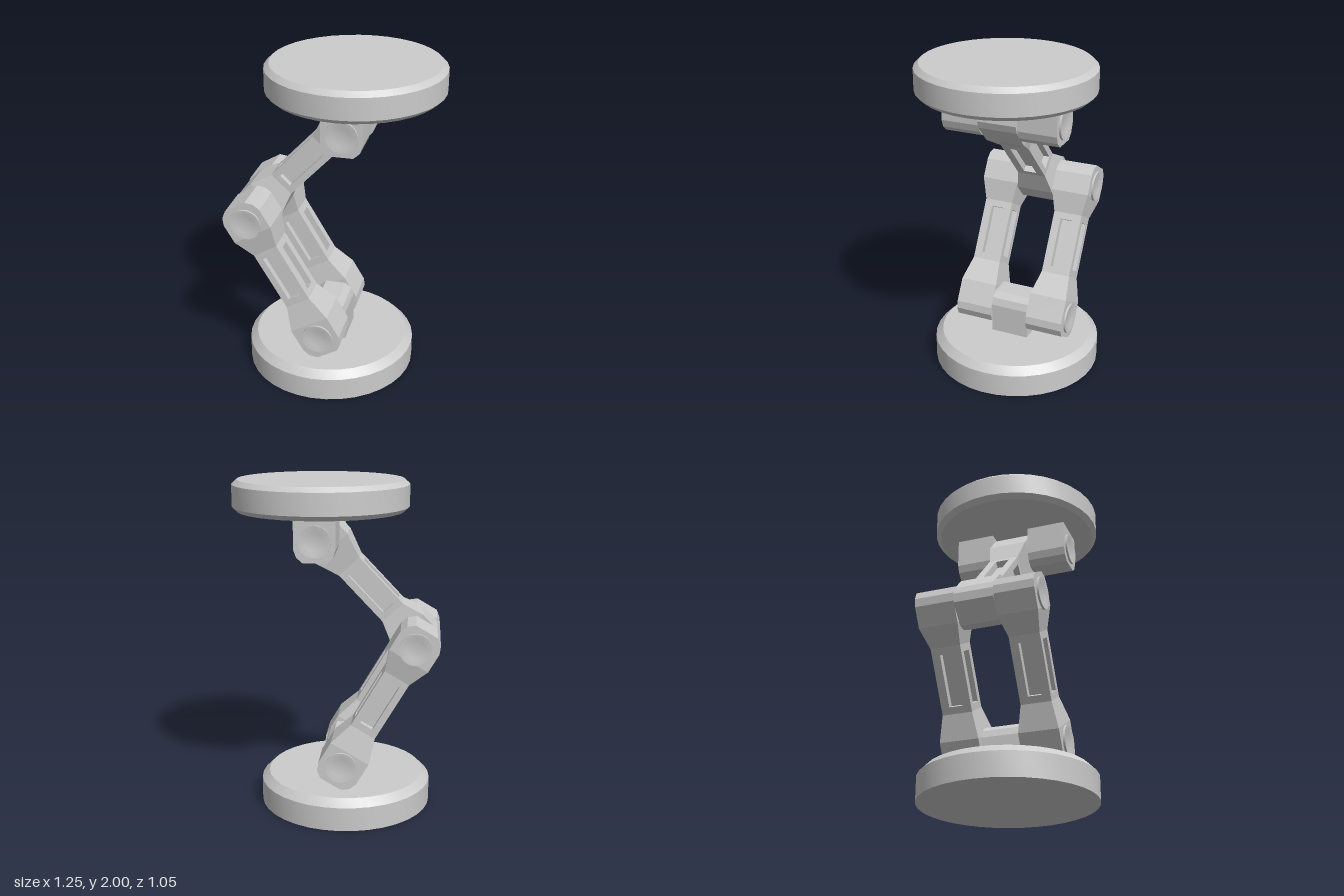
import * as THREE from 'three';
import { toCreasedNormals } from 'three/addons/utils/BufferGeometryUtils.js';

const mat = new THREE.MeshStandardMaterial({ color: 0xcccccc });
const flat = new THREE.MeshStandardMaterial({ color: 0xcccccc, flatShading: true });

function add(parent, geo, name, material = flat) {
  const mesh = new THREE.Mesh(geo, material);
  mesh.name = name;
  parent.add(mesh);
  return mesh;
}

// Turned part with crisp edges between its bands
function turned(points, segments) {
  const profile = points.map(([r, y]) => new THREE.Vector2(r, y));
  return toCreasedNormals(new THREE.LatheGeometry(profile, segments), 0.5);
}

// Chamfered knuckle around a joint at the origin, open side ending at y = top
function knuckle(hw, top, depth) {
  const k = hw / 0.13;
  const side = [[0.072, -0.122], [0.112, -0.09], [0.13, -0.045]].map(([x, y]) => [x * k, y]);
  const right = [...side, [hw, top]];
  const left = [...right].reverse().map(([x, y]) => [-x, y]);
  const shape = new THREE.Shape([...right, ...left].map(([x, y]) => new THREE.Vector2(x, y)));
  return new THREE.ExtrudeGeometry(shape, { depth, bevelEnabled: false }).translate(0, 0, -depth / 2);
}

// Block along y whose section changes from (w0, d0) to (w1, d1)
function taper(w0, d0, w1, d1, y0, y1) {
  const geo = new THREE.BoxGeometry(1, 1, 1);
  const p = geo.attributes.position;
  for (let i = 0; i < p.count; i++) {
    const low = p.getY(i) < 0;
    p.setXYZ(i, p.getX(i) * (low ? w0 : w1), low ? y0 : y1, p.getZ(i) * (low ? d0 : d1));
  }
  geo.computeVertexNormals();
  return geo;
}

// Plate with a rectangular window, in the xy plane, thickness along +z
function windowPlate(w, y0, y1, slotW, s0, s1, depth) {
  const rect = (Type, hw, a, b) => new Type([[-hw, a], [hw, a], [hw, b], [-hw, b]].map(([x, y]) => new THREE.Vector2(x, y)));
  const shape = rect(THREE.Shape, w / 2, y0, y1);
  shape.holes.push(rect(THREE.Path, slotW / 2, s0, s1));
  return new THREE.ExtrudeGeometry(shape, { depth, bevelEnabled: false });
}

// Arm from one joint to the other, with recessed slots on its four sides
function arm(name, [x0, y0], [x1, y1], z) {
  const W = 0.26, D = 0.24, w = 0.164, d = 0.184, recess = 0.04;
  const length = Math.hypot(x1 - x0, y1 - y0);
  const a = 0.255, b = length - 0.21, mid = (a + b) / 2;
  const g = new THREE.Group();
  g.name = name;
  g.position.set(x0, y0, z);
  g.rotation.z = Math.atan2(x0 - x1, y1 - y0);

  add(g, knuckle(W / 2, 0.105, D), 'outerKnuckle');
  add(g, taper(W, D, w, d, 0.105, a), 'outerTaper');
  add(g, knuckle(W / 2, 0.08, D).rotateZ(Math.PI).translate(0, length, 0), 'elbowKnuckle');
  add(g, taper(w, d, W, D, b, length - 0.08), 'elbowTaper');

  add(g, taper(w - 2 * recess, d - 2 * recess, w - 2 * recess, d - 2 * recess, a, b), 'slotCore');
  for (const turn of [0, 1, 2, 3]) {
    const onZ = turn % 2 === 0;
    const plate = windowPlate(onZ ? w : d - 2 * recess, a, b, 0.083, mid - 0.153, mid + 0.153, recess);
    plate.translate(0, 0, (onZ ? d : w) / 2 - recess).rotateY(turn * Math.PI / 2);
    add(g, plate, 'slottedSide');
  }
  return g;
}

export function createModel() {
  const model = new THREE.Group();
  model.name = 'articulatedStand';
  const bottom = [-0.06, 0.33], elbow = [-0.49, 1.07], top = [0.09, 1.68];

  // Base and platform discs
  const base = turned([[0, 0], [0.525, 0], [0.525, 0.145], [0.48, 0.19], [0, 0.19]], 36);
  add(model, base, 'base', mat).position.x = bottom[0];
  const platform = turned([[0, 1.815], [0.495, 1.815], [0.525, 1.843], [0.525, 1.972], [0.495, 2], [0, 2]], 36);
  add(model, platform, 'platform', mat).position.x = top[0];

  // Single tab on the base, pair of lugs under the platform
  const tab = add(model, knuckle(0.118, 0.15, 0.24), 'baseTab');
  tab.position.set(...bottom, 0);
  tab.rotation.z = Math.PI;
  for (const z of [-0.24, 0.24]) {
    add(model, knuckle(0.12, 0.145, 0.24), 'platformLug').position.set(...top, z);
    model.add(arm('lowerArm', bottom, elbow, z));
  }
  model.add(arm('upperArm', top, elbow, 0));

  // Dished pin heads on the outer faces of every joint
  const pin = turned([[0, 0], [0.095, 0], [0.095, 0.022], [0.087, 0.022], [0.055, 0.013], [0, 0.013]], 32);
  for (const joint of [bottom, elbow, top]) {
    for (const side of [-1, 1]) {
      const head = add(model, pin, 'pinHead', mat);
      head.position.set(...joint, side * 0.35);
      head.rotation.x = side * Math.PI / 2;
    }
  }
  return model;
}
